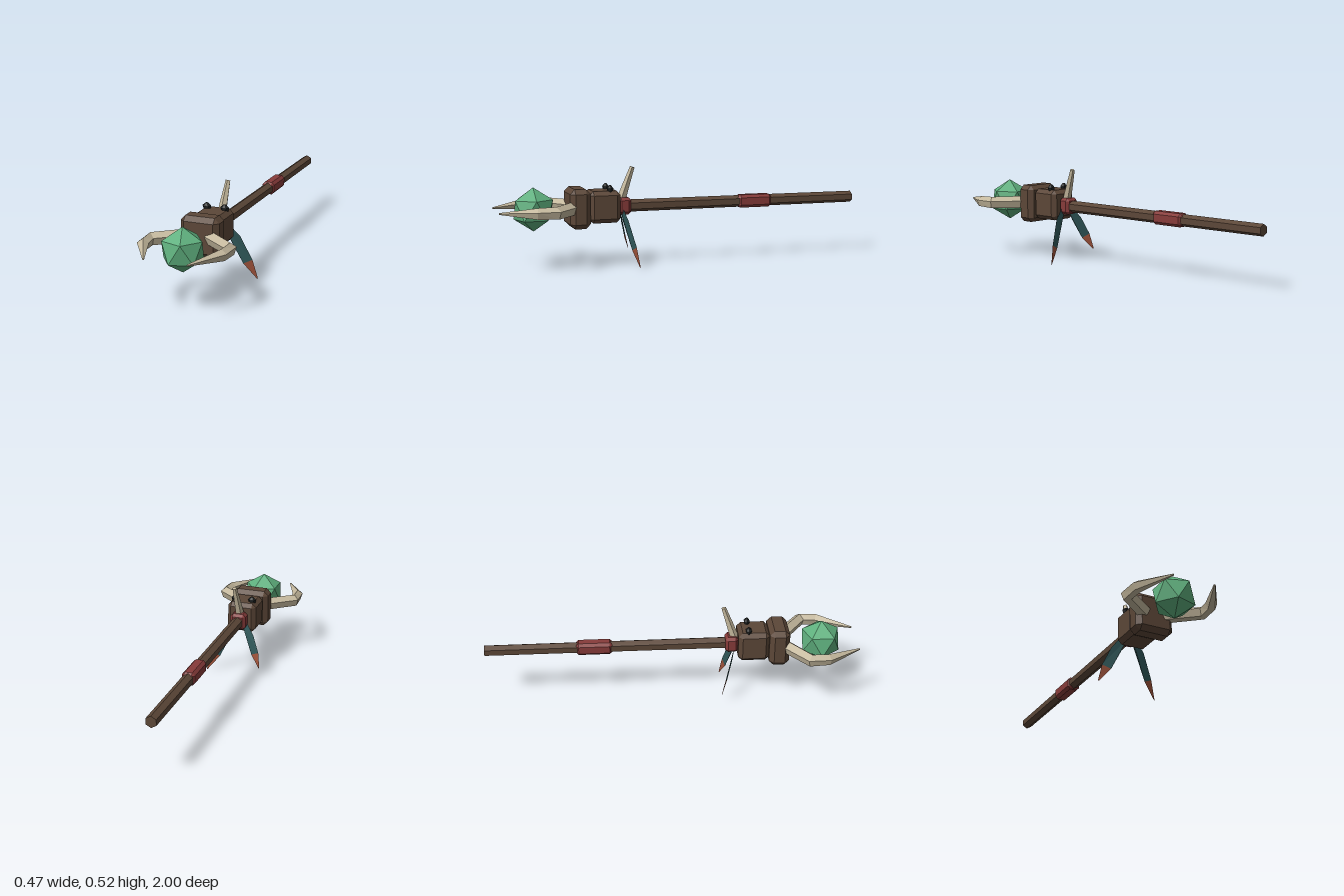
import * as THREE from 'three';
import { ConvexGeometry } from 'three/addons/geometries/ConvexGeometry.js';

const AXIS = 0.308; // height of the staff's centre line

const mat = (name, color, side = THREE.FrontSide) => {
  const m = new THREE.MeshStandardMaterial({ color, flatShading: true, side });
  m.name = name;
  return m;
};

const V = (x, y, z) => new THREE.Vector3(x, y, z);

// Box with all edges cut off by c
function chamferBox(w, h, d, c) {
  const pts = [];
  for (const sx of [-1, 1]) for (const sy of [-1, 1]) for (const sz of [-1, 1]) {
    const x = w / 2, y = h / 2, z = d / 2;
    pts.push(V(sx * x, sy * (y - c), sz * (z - c)));
    pts.push(V(sx * (x - c), sy * y, sz * (z - c)));
    pts.push(V(sx * (x - c), sy * (y - c), sz * z));
  }
  return new ConvexGeometry(pts);
}

// Tapered tube through [x, y, z, radius] stations, apex of each section toward up
function loft(stations, sides, up) {
  const c = stations.map(s => V(s[0], s[1], s[2]));
  const pos = [], index = [], n = c.length;
  c.forEach((p, i) => {
    const t = c[Math.min(i + 1, n - 1)].clone().sub(c[Math.max(i - 1, 0)]).normalize();
    const u = up.clone().addScaledVector(t, -up.dot(t)).normalize();
    const s = t.clone().cross(u);
    for (let j = 0; j < sides; j++) {
      const a = j / sides * Math.PI * 2, r = stations[i][3];
      const q = p.clone().addScaledVector(s, Math.sin(a) * r).addScaledVector(u, Math.cos(a) * r);
      pos.push(q.x, q.y, q.z);
    }
  });
  for (let i = 0; i < n - 1; i++) for (let j = 0; j < sides; j++) {
    const k = (j + 1) % sides;
    const a = i * sides + j, b = i * sides + k, d = a + sides, e = b + sides;
    index.push(a, b, e, a, e, d);
  }
  const last = (n - 1) * sides;
  for (let j = 1; j < sides - 1; j++) {
    index.push(0, j + 1, j, last, last + j, last + j + 1);
  }
  return facet(pos, index);
}

function facet(pos, index) {
  const g = new THREE.BufferGeometry();
  g.setAttribute('position', new THREE.Float32BufferAttribute(pos, 3));
  g.setIndex(index);
  const flat = g.toNonIndexed();
  flat.computeVertexNormals();
  return flat;
}

// Thin sheet as a fan from its first corner
function sheet(corners) {
  const index = [];
  for (let i = 1; i < corners.length - 1; i++) index.push(0, i, i + 1);
  return facet(corners.flat(), index);
}

export function createModel() {
  const group = new THREE.Group();
  const wood = mat('dark wood', 0x5c4738);
  const red = mat('red wrap', 0x873b3a);
  const bone = mat('bone', 0xc4b89d);
  const green = mat('green crystal', 0x5fb07e);
  const black = mat('black stud', 0x1e2222);
  const teal = mat('teal feather', 0x30585a, THREE.DoubleSide);
  const rust = mat('rust feather tip', 0x9c5139, THREE.DoubleSide);

  const add = (name, geo, material, x = 0, y = 0, z = 0) => {
    const m = new THREE.Mesh(geo, material);
    m.name = name;
    m.position.set(x, y, z);
    group.add(m);
    return m;
  };

  // Six-sided shaft with its wraps
  add('shaft', new THREE.CylinderGeometry(0.033, 0.031, 1.4, 6).rotateX(Math.PI / 2), wood, 0, AXIS, -0.3);
  add('grip', chamferBox(0.07, 0.07, 0.195, 0.015), red, 0, AXIS, -0.417);
  add('collar', chamferBox(0.086, 0.09, 0.07, 0.015), red, 0, AXIS + 0.002, 0.32);

  // Two-block head
  add('rearHead', chamferBox(0.164, 0.168, 0.168, 0.022), wood, 0, AXIS + 0.005, 0.435);
  add('frontHead', chamferBox(0.206, 0.208, 0.108, 0.025), wood, 0, AXIS + 0.001, 0.57);

  // Crystal: icosahedron standing on a corner
  const R = 0.115, ring = R * 2 / Math.sqrt(5), h = R / Math.sqrt(5);
  const pts = [V(0, R, 0), V(0, -R, 0)];
  for (let i = 0; i < 5; i++) {
    const a = i * Math.PI * 0.4, b = a + Math.PI / 5;
    pts.push(V(Math.cos(a) * ring, h, Math.sin(a) * ring), V(Math.cos(b) * ring, -h, Math.sin(b) * ring));
  }
  add('crystal', new ConvexGeometry(pts), green, 0, AXIS, 0.802);

  // Claws around the crystal and studs on the head
  for (const s of [1, -1]) {
    const side = s > 0 ? 'left' : 'right';
    add(side + 'Claw', loft([
      [s * 0.055, AXIS + 0.003, 0.6, 0.036],
      [s * 0.211, AXIS + 0.003, 0.722, 0.034],
      [s * 0.206, AXIS + 0.003, 0.812, 0.031],
      [s * 0.112, AXIS, 0.995, 0.005],
    ], 5, V(0, 1, 0)), bone);
    const stud = new THREE.LatheGeometry([
      new THREE.Vector2(0, -0.03), new THREE.Vector2(0.014, -0.028),
      new THREE.Vector2(0.022, 0), new THREE.Vector2(0.008, 0.015), new THREE.Vector2(0, 0.017),
    ], 6).rotateY(Math.PI / 6).scale(1.1, 1, 0.8);
    add(side + 'Stud', stud, black, s * 0.049, 0.41, 0.405);
  }

  // Horn behind the head
  add('horn', loft([
    [0, 0.33, 0.337, 0.026],
    [0.006, 0.42, 0.307, 0.02],
    [0.013, 0.515, 0.274, 0.013],
  ], 5, V(0, 0, 1)), bone);

  // Two hanging feathers: inner edge, outer edge and tip
  const feathers = [
    { name: 'left', base: [[0.012, 0.285, 0.338], [0.042, 0.297, 0.332]],
      mid: [[0.042, 0.232, 0.334], [0.095, 0.24, 0.318]],
      end: [[0.107, 0.085, 0.302], [0.153, 0.107, 0.29]],
      tip: [[0.174, 0.002, 0.278], [0.178, 0.004, 0.276]] },
    { name: 'right', base: [[-0.012, 0.285, 0.336], [-0.042, 0.297, 0.33]],
      mid: [[-0.036, 0.225, 0.325], [-0.088, 0.235, 0.307]],
      end: [[-0.082, 0.122, 0.294], [-0.127, 0.143, 0.28]],
      tip: [[-0.135, 0.058, 0.262], [-0.14, 0.06, 0.259]] },
  ];
  for (const { name, base, mid, end, tip } of feathers) {
    add(name + 'Feather', sheet([base[0], mid[0], end[0], end[1], mid[1], base[1]]), teal);
    add(name + 'FeatherTip', sheet([end[0], tip[0], tip[1], end[1]]), rust);
  }

  return group;
}
